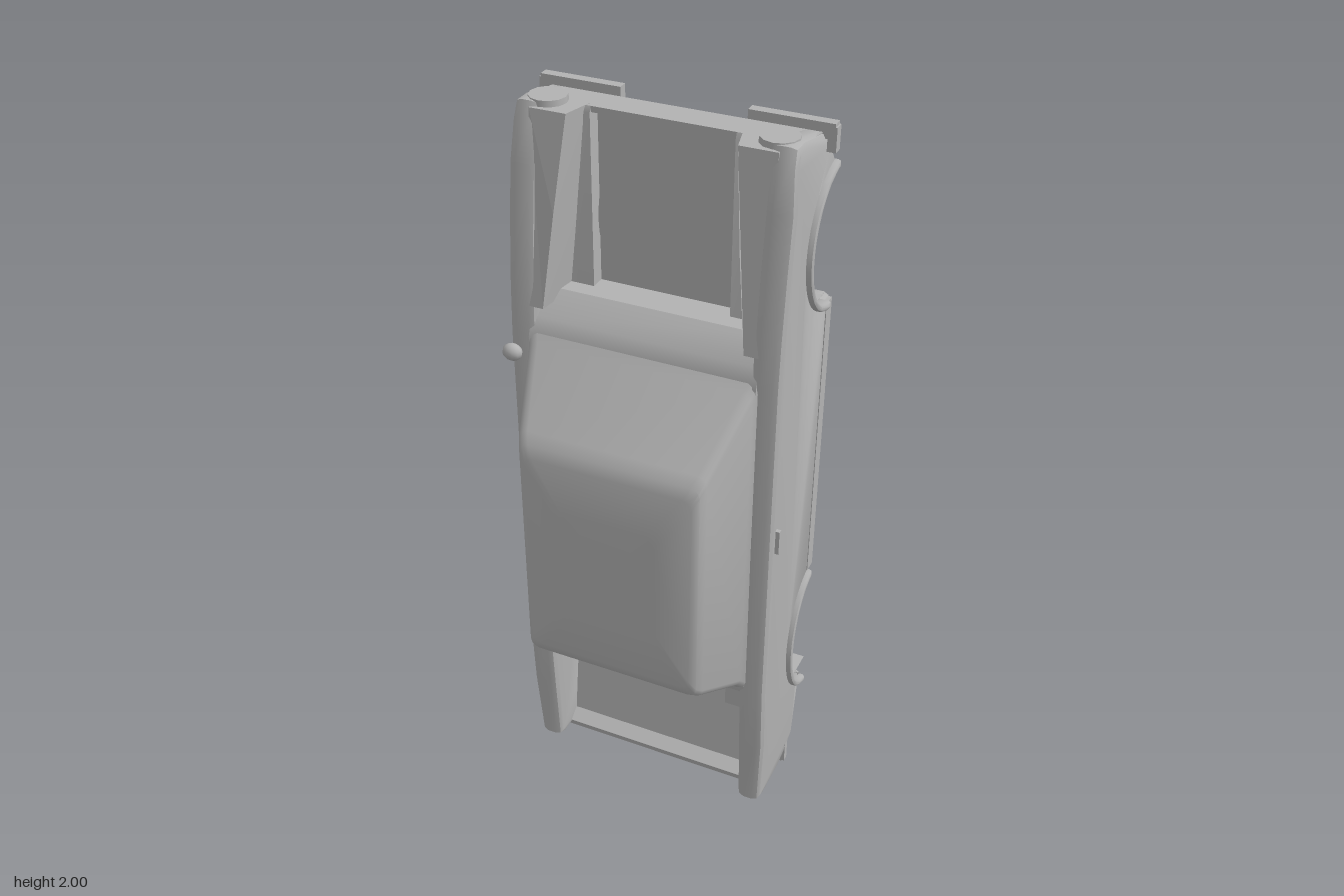
import * as THREE from 'three';
import { toCreasedNormals } from 'three/addons/utils/BufferGeometryUtils.js';

// Car body shell standing on its tail: nose at +y, roof toward +z.
export function createModel() {
  const car = new THREE.Group();
  car.name = 'carBody';
  const paint = new THREE.MeshStandardMaterial({ color: 0xb2b2b2, side: THREE.DoubleSide });
  paint.name = 'grey paint';

  const add = (name, geo, x = 0, y = 0, z = 0) => {
    const mesh = new THREE.Mesh(geo, paint);
    mesh.name = name;
    mesh.position.set(x, y, z);
    car.add(mesh);
    return mesh;
  };
  const box = (name, x0, x1, y0, y1, z0, z1) =>
    add(name, new THREE.BoxGeometry(x1 - x0, y1 - y0, z1 - z0), (x0 + x1) / 2, (y0 + y1) / 2, (z0 + z1) / 2);

  // Extrudes a (y, z) side profile across the car from x0 to x1
  const toCar = new THREE.Matrix4().set(0, 0, 1, 0, 1, 0, 0, 0, 0, 1, 0, 0, 0, 0, 0, 1);
  const slab = (shape, x0, x1, bevel = 0) => {
    const geo = new THREE.ExtrudeGeometry(shape, {
      depth: x1 - x0 - 2 * bevel, curveSegments: 14, bevelEnabled: bevel > 0,
      bevelThickness: bevel, bevelSize: bevel * 0.8, bevelOffset: -bevel * 0.8, bevelSegments: 2,
    });
    geo.translate(0, 0, x0 + bevel).applyMatrix4(toCar);
    return toCreasedNormals(geo, 0.5);
  };

  // Underside outline running from nose to tail, with elliptical wheel arches
  const frontArch = { y: 1.695, z: -0.225, ry: 0.175, rz: 0.163 };
  const rearArch = { y: 0.475, z: -0.235, ry: 0.187, rz: 0.132 };
  const underside = (shape, arches) => {
    shape.lineTo(1.97, -0.15);
    shape.lineTo(1.94, -0.19);
    shape.lineTo(1.87, -0.212);
    if (arches) shape.absellipse(frontArch.y, frontArch.z, frontArch.ry, frontArch.rz, 0, Math.PI, false, 0);
    shape.lineTo(1.52, -0.25);
    shape.lineTo(0.662, -0.25);
    if (arches) shape.absellipse(rearArch.y, rearArch.z, rearArch.ry, rearArch.rz, 0, Math.PI, false, 0);
    shape.lineTo(0.288, -0.222);
    shape.lineTo(0.08, -0.2);
    shape.lineTo(0.03, -0.15);
    shape.lineTo(0.015, -0.1);
  };
  const profile = (top, arches) => {
    const shape = new THREE.Shape();
    shape.moveTo(...top[0]);
    underside(shape, arches);
    top.slice(1).forEach((p) => shape.lineTo(...p));
    shape.closePath();
    return shape;
  };

  // Centre: nose panel, engine bay floor, firewall, deck, boot floor, tail panel
  add('centreBody', slab(profile([
    [1.985, -0.036], [0.015, -0.01], [0.035, -0.005], [0.06, -0.04], [0.45, -0.09], [0.45, 0.02],
    [1.525, 0.015], [1.525, -0.07], [1.97, -0.07], [1.97, -0.036],
  ], false), -0.21, 0.21));

  // Deck below the cabin, and the sloping cowl
  const deck = new THREE.Shape();
  [[0.45, -0.08], [0.45, 0.08], [0.48, 0.09], [1.42, 0.095], [1.47, 0.075], [1.525, 0.015], [1.525, -0.05]]
    .forEach((p, i) => (i ? deck.lineTo(...p) : deck.moveTo(...p)));
  add('deck', slab(deck, -0.3, 0.3));

  // Height of the wing tops along the car
  const wingTop = (y) => (y > 1.42 ? 0.09 - 0.06 * Math.pow((y - 1.42) / 0.58, 1.5) : 0.09);

  for (const s of [-1, 1]) {
    const side = s > 0 ? 'left' : 'right';
    const span = (a, b) => (s > 0 ? [a, b] : [-b, -a]);

    // Inner wheel wells with the ledge beside the engine bay
    add(side + 'WheelWells', slab(profile([
      [1.985, -0.036], [0.015, -0.01], [0.035, -0.005], [0.06, -0.04], [0.45, -0.09], [0.45, -0.03], [1.97, -0.03],
    ], true), ...span(0.18, 0.34)));

    // Outer flank with rounded shoulders, drawn in toward both ends
    const flank = slab(profile([
      [1.997, -0.03], [0.015, 0.03], [0.03, 0.06], [0.25, 0.075], [0.47, 0.088], [0.95, 0.09], [1.42, 0.09],
      ...[1.55, 1.7, 1.85, 1.95].map((y) => [y, wingTop(y)]), [1.997, 0.02],
    ], true), ...span(0.283, 0.357), 0.02);
    const p = flank.attributes.position;
    for (let i = 0; i < p.count; i++) {
      const pull = 0.01 * (THREE.MathUtils.smoothstep(p.getY(i), 1.85, 2) + 1 - THREE.MathUtils.smoothstep(p.getY(i), 0, 0.15));
      if (Math.abs(p.getX(i)) > 0.32) p.setX(i, p.getX(i) - s * pull);
    }
    add(side + 'Flank', toCreasedNormals(flank, 0.5));

    // Sill
    box(side + 'Sill', ...span(0.3, 0.359), 0.68, 1.51, -0.25, -0.212);

    // Wing top: inner edge slopes down to the engine bay ledge
    const plan = new THREE.Shape();
    [[0.21, 1.985], [0.235, 1.745], [0.262, 1.5], [0.305, 1.5], [0.305, 1.985]]
      .forEach(([x, y], i) => (i ? plan.lineTo(s * x, y) : plan.moveTo(s * x, y)));
    const wing = new THREE.ExtrudeGeometry(plan, { depth: 1, bevelEnabled: false });
    const w = wing.attributes.position;
    for (let i = 0; i < w.count; i++) {
      const top = w.getZ(i) > 0.5;
      if (!top && Math.abs(w.getX(i)) < 0.3) w.setX(i, w.getX(i) - s * 0.02);
      w.setZ(i, top ? wingTop(w.getY(i)) - 0.002 : -0.05);
    }
    wing.computeVertexNormals();
    add(side + 'WingTop', wing);

    // Flared arch lips
    for (const a of [frontArch, rearArch]) {
      const lip = new THREE.Shape();
      lip.absellipse(a.y, a.z, a.ry + 0.018, a.rz + 0.018, 0.1, Math.PI - 0.1, false, 0);
      lip.absellipse(a.y, a.z, a.ry, a.rz, Math.PI - 0.1, 0.1, true, 0);
      add(side + 'ArchLip', slab(lip, ...span(0.335, 0.372), 0.008));
    }

    // Wheel housing inside the boot
    box(side + 'BootHousing', ...span(0.21, 0.29), 0.3, 0.455, -0.1, -0.01);

    // Headlight
    add(side + 'Headlight', new THREE.CylinderGeometry(0.047, 0.052, 0.08, 12), s * 0.285, 1.96, -0.028);

    // Front bumper half with wrapped end
    box(side + 'FrontBumper', ...span(0.16, 0.37), 1.955, 1.993, -0.176, -0.15);
    box(side + 'FrontBumperEnd', ...span(0.352, 0.374), 1.925, 1.985, -0.176, -0.15);

    // Rear bumper end
    box(side + 'RearBumperEnd', ...span(0.335, 0.352), 0.004, 0.08, -0.163, -0.143);

    // Mud flap and door handle
    add(side + 'MudFlap', new THREE.PlaneGeometry(0.09, 0.1).rotateX(-Math.PI / 2), s * 0.295, 0.285, -0.25);
    box(side + 'DoorHandle', ...span(0.345, 0.362), 0.92, 0.99, 0.034, 0.046);
  }

  // Cabin: stacked rounded rectangles [z, rear y, front y, half width at rear, at front]
  const rings = [
    [0.07, 0.45, 1.455, 0.318, 0.318], [0.092, 0.475, 1.43, 0.302, 0.302], [0.105, 0.488, 1.412, 0.296, 0.296],
    [0.255, 0.562, 1.258, 0.25, 0.25], [0.275, 0.578, 1.232, 0.24, 0.24], [0.287, 0.61, 1.2, 0.222, 0.224],
    [0.293, 0.74, 1.06, 0.13, 0.13], [0.295, 0.9, 0.91, 0.005, 0.005],
  ];
  const verts = [], index = [], n = 16;
  rings.forEach(([z, y0, y1, rear, front], r) => {
    const rad = Math.min(0.025, (y1 - y0) / 2, rear);
    for (let i = 0; i < n; i++) {
      const q = Math.floor(i / 4), a = (q + (i % 4) / 3) * Math.PI / 2;
      const right = q === 0 || q === 3 ? 1 : -1, up = q < 2;
      verts.push(right * ((up ? front : rear) - rad) + rad * Math.cos(a), (up ? y1 - rad : y0 + rad) + rad * Math.sin(a), z);
      if (r) {
        const b = (r - 1) * n, j = (i + 1) % n;
        index.push(b + i, b + j, b + n + j, b + i, b + n + j, b + n + i);
      }
    }
  });
  const cabin = new THREE.BufferGeometry();
  cabin.setAttribute('position', new THREE.Float32BufferAttribute(verts, 3));
  cabin.setIndex(index);
  add('cabin', toCreasedNormals(cabin, 0.6));

  // Rear bumper bar and exhaust pipe
  box('rearBumper', -0.345, 0.345, 0, 0.022, -0.163, -0.143);
  add('exhaust', new THREE.CylinderGeometry(0.009, 0.009, 0.2, 8), -0.2, 0.155, -0.214);

  // Door mirror on a thin stalk
  const mirror = add('doorMirror', new THREE.SphereGeometry(0.027, 10, 8), -0.342, 1.372, 0.107);
  mirror.scale.set(1, 0.85, 0.75);
  const stalk = new THREE.LineCurve3(new THREE.Vector3(-0.325, 1.375, 0.06), new THREE.Vector3(-0.335, 1.37, 0.1));
  add('mirrorStalk', new THREE.TubeGeometry(stalk, 1, 0.004, 6));

  return car;
}
